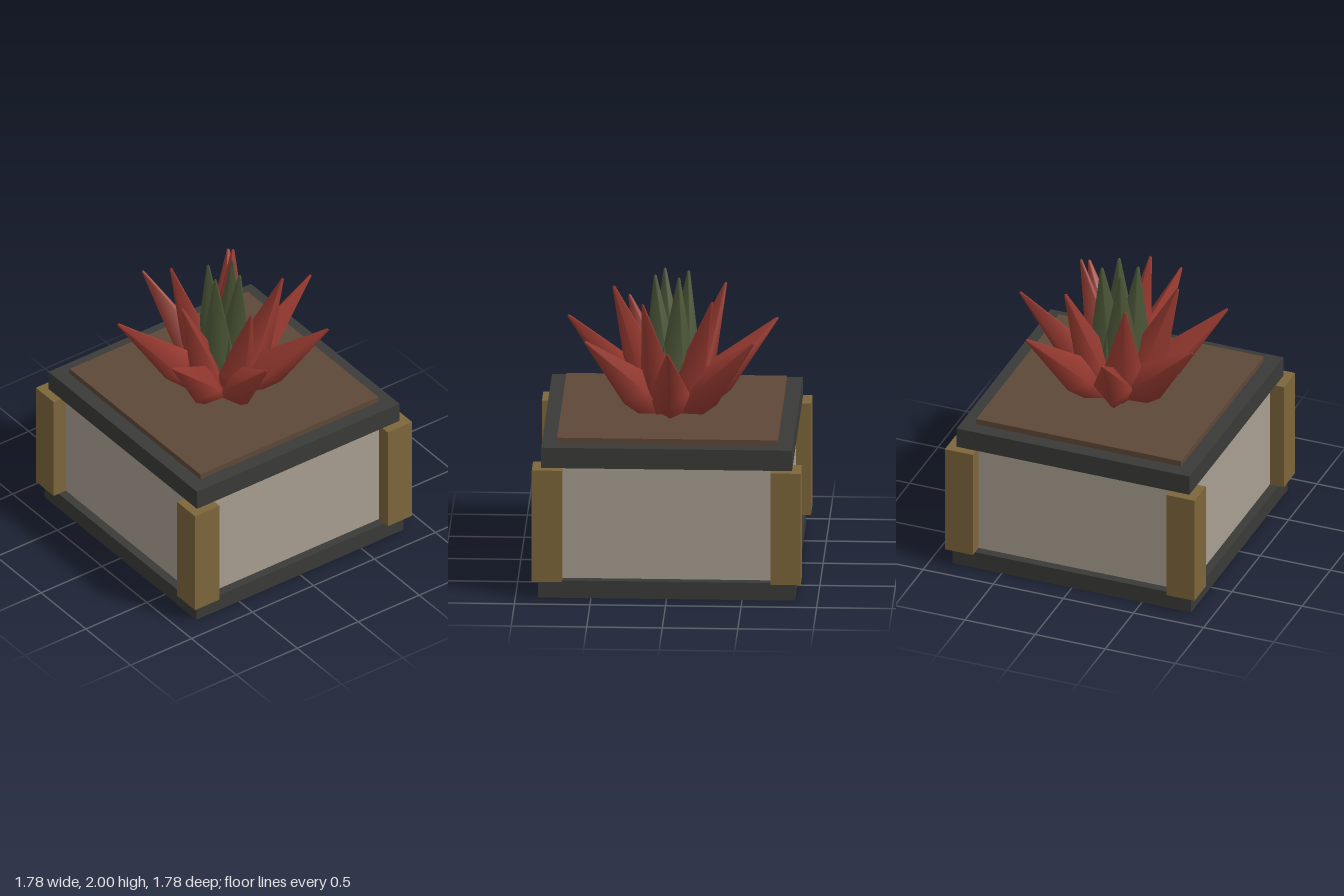
import * as THREE from 'three';

const paint = (color) => new THREE.MeshStandardMaterial({ color });

export function createModel() {
  const model = new THREE.Group();
  model.name = 'pottedSucculent';

  const dark = paint(0x3a3a38), beige = paint(0xa89f91), wood = paint(0x7d663b);
  const earth = paint(0x5e4837), red = paint(0x9c3c32), green = paint(0x4f5a3a);

  // Square slab centred on x, z from height y0 to y1
  function slab(name, width, y0, y1, material, x = 0, z = 0) {
    const mesh = new THREE.Mesh(new THREE.BoxGeometry(width, y1 - y0, width), material);
    mesh.position.set(x, (y0 + y1) / 2, z);
    mesh.name = name;
    model.add(mesh);
  }

  // Planter
  slab('base', 1.7, 0, 0.12, dark);
  slab('body', 1.58, 0.12, 0.89, beige);
  slab('rim', 1.66, 0.89, 1.03, dark);
  slab('soil', 1.46, 1.0, 1.07, earth);
  for (const x of [-0.79, 0.79])
    for (const z of [-0.79, 0.79]) slab('cornerPost', 0.2, 0.12, 0.89, wood, x, z);

  // Ring of four-sided pointed leaves, each leaning outward from its foot to its tip
  function leafRing(name, count, startDeg, foot, tip, width, material) {
    const dr = tip[0] - foot[0], dy = tip[1] - foot[1];
    const length = Math.hypot(dr, dy);
    const profile = [[0, 0], [0.75, 0], [1, 0.31], [0.08, 0.99], [0, 1]]
      .map(([r, t]) => new THREE.Vector2(r * width, t * length));
    const geometry = new THREE.LatheGeometry(profile, 4);
    const ring = new THREE.Group();
    ring.name = name + 's';
    for (let i = 0; i < count; i++) {
      const leaf = new THREE.Mesh(geometry, material);
      leaf.name = name;
      leaf.position.set(foot[0], foot[1], 0);
      leaf.rotation.z = -Math.atan2(dr, dy);
      const pivot = new THREE.Group();
      pivot.rotation.y = -THREE.MathUtils.degToRad(startDeg + (i * 360) / count);
      pivot.add(leaf);
      ring.add(pivot);
    }
    model.add(ring);
  }

  // Plant
  leafRing('outerLeaf', 7, 0, [0.12, 1.08], [0.715, 1.65], 0.13, red);
  leafRing('innerLeaf', 5, 27, [0.09, 1.05], [0.395, 1.885], 0.13, red);
  leafRing('heartLeaf', 4, 65, [0.06, 1.05], [0.12, 2.0], 0.13, green);

  return model;
}
